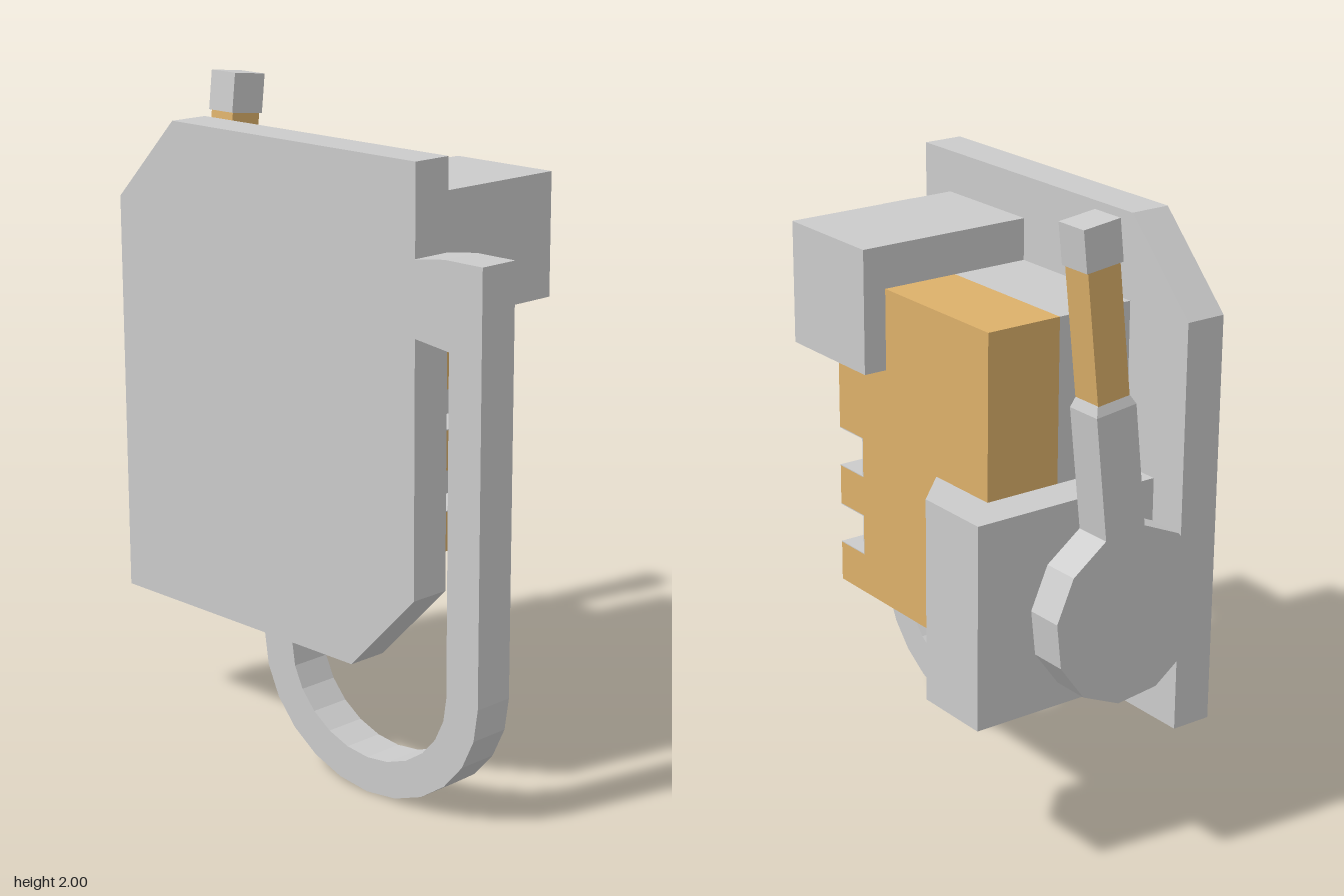
import * as THREE from 'three';

const grey = new THREE.MeshStandardMaterial({ color: 0xcccccc, flatShading: true });
const orange = new THREE.MeshStandardMaterial({ color: 0xdcb06a, flatShading: true });

function add(parent, name, geometry, material = grey) {
  const mesh = new THREE.Mesh(geometry, material);
  mesh.name = name;
  parent.add(mesh);
  return mesh;
}

// Box from its minimum and maximum corners
function box(x0, x1, y0, y1, z0, z1) {
  return new THREE.BoxGeometry(x1 - x0, y1 - y0, z1 - z0)
    .translate((x0 + x1) / 2, (y0 + y1) / 2, (z0 + z1) / 2);
}

// Side profile of [z, y] points, extruded from x0 to x1
function sideSlab(points, x0, x1) {
  const shape = new THREE.Shape(points.map(([z, y]) => new THREE.Vector2(-z, y)));
  return new THREE.ExtrudeGeometry(shape, { depth: x1 - x0, bevelEnabled: false })
    .rotateY(Math.PI / 2).translate(x0, 0, 0);
}

export function createModel() {
  const model = new THREE.Group();
  model.name = 'wallDevice';
  const XL = -0.385, XP = -0.255;

  // Mounting plate with two cut corners
  add(model, 'mountingPlate', sideSlab([
    [0.52, 1.91], [-0.495, 1.91], [-0.75, 1.65], [-0.75, 0.385], [0.265, 0.385], [0.52, 0.645],
  ], XL, XP));

  // Looped hose: short arm, straight drop and a half-round bottom
  const arc = (rx, ry) => Array.from({ length: 13 }, (_, i) => {
    const a = Math.PI * i / 12;
    return [0.33 + rx * Math.cos(a), 0.385 - ry * Math.sin(a)];
  });
  add(model, 'hoseLoop', sideSlab([
    [0.52, 1.64], [0.63, 1.655], [0.772, 1.655],
    ...arc(0.442, 0.385), ...arc(0.32, 0.275).reverse(),
    [0.65, 1.40], [0.52, 1.415],
  ], XL, XP));

  // Body: solid inner part, then slotted grey and orange parts
  const F = 0.265, S = 0.14, B = -0.495;
  const slots = [[0.765, 0.895], [1.02, 1.147]];
  const slotted = [[B, 1.65], [B, 0.64], [F, 0.64]];
  for (const [y0, y1] of slots) slotted.push([F, y0], [S, y0], [S, y1], [F, y1]);
  slotted.push([F, 1.65]);
  add(model, 'bodyInner', box(XP, -0.13, 0.64, 1.65, B, F));
  add(model, 'bodyMiddle', sideSlab(slotted, -0.13, 0));
  add(model, 'bodyCover', sideSlab(slotted, 0, 0.25), orange);

  // Grey lining inside the slots of the orange cover
  const t = 0.003;
  for (const [y0, y1] of slots) {
    add(model, 'slotBack', box(0, 0.25, y0, y1, S, S + t));
    add(model, 'slotFloor', box(0, 0.25, y0, y0 + t, S, F));
    add(model, 'slotCeiling', box(0, 0.25, y1 - t, y1, S, F));
  }

  // Upper front block
  add(model, 'frontBlock', box(XP, 0.325, 1.40, 1.78, 0.01, 0.39));

  // Rear block with one cut corner, outlined from above
  const plan = [[XP, -0.245], [0.25, -0.245], [0.376, -0.37], [0.376, -0.622], [XP, -0.622]];
  const planShape = new THREE.Shape(plan.map(([x, z]) => new THREE.Vector2(x, -z)));
  add(model, 'rearBlock', new THREE.ExtrudeGeometry(planShape, { depth: 0.633, bevelEnabled: false })
    .rotateX(-Math.PI / 2).translate(0, 0.512, 0));

  // Leaning lever behind: twelve-sided hub, shaft, grip and tip
  const lever = new THREE.Group();
  lever.name = 'lever';
  lever.position.set(-0.06, 0.815, -0.71);
  lever.rotation.z = -0.113;
  model.add(lever);
  add(lever, 'leverHub', new THREE.CylinderGeometry(0.272, 0.272, 0.12, 12, 1, false, Math.PI / 12)
    .rotateX(Math.PI / 2));
  add(lever, 'leverShaft', box(-0.07, 0.07, 0.2, 0.64, -0.06, 0.06));

  // Shoulder narrows from the shaft to the grip
  const shoulder = box(-0.07, 0.07, 0.64, 0.67, -0.06, 0.06);
  const p = shoulder.attributes.position;
  for (let i = 0; i < p.count; i++) {
    if (p.getY(i) > 0.655) p.setXYZ(i, p.getX(i) * 0.8, p.getY(i), p.getZ(i) * 0.82);
  }
  shoulder.computeVertexNormals();
  add(lever, 'leverShoulder', shoulder);
  add(lever, 'leverGrip', box(-0.056, 0.056, 0.66, 1.06, -0.05, 0.05), orange);
  add(lever, 'leverTip', box(-0.063, 0.063, 1.06, 1.185, -0.055, 0.055));

  return model;
}
